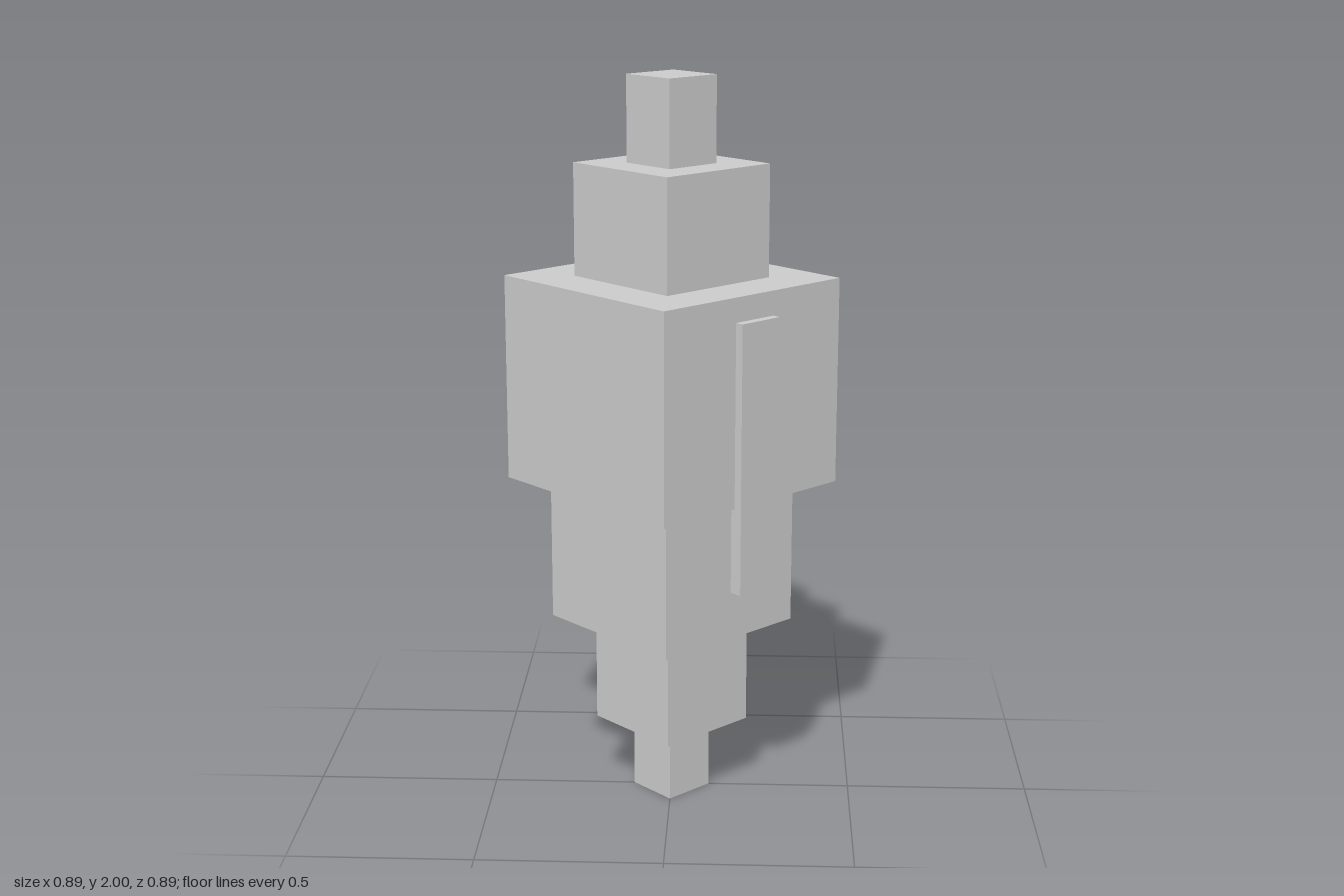
import * as THREE from 'three';

export function createModel() {
  const model = new THREE.Group();
  model.name = 'steppedTower';
  const grey = new THREE.MeshStandardMaterial({ color: 0xcccccc });
  grey.name = 'light grey';

  // The whole stack stands with its corners facing the axes
  const stack = new THREE.Group();
  stack.name = 'stack';
  stack.rotation.y = Math.PI / 4;
  model.add(stack);

  const addBox = (name, w, d, y0, y1, x = 0, z = 0) => {
    const mesh = new THREE.Mesh(new THREE.BoxGeometry(w, y1 - y0, d), grey);
    mesh.name = name;
    mesh.position.set(x, (y0 + y1) / 2, z);
    stack.add(mesh);
  };

  // Square tiers: name, half diagonal, bottom, top
  const tiers = [
    ['foot', 0.105, 0, 0.203],
    ['lowerTier', 0.21, 0.203, 0.503],
    ['waistTier', 0.331, 0.503, 0.903],
    ['mainBody', 0.447, 0.903, 1.466],
    ['upperTier', 0.259, 1.466, 1.769],
    ['topBlock', 0.118, 1.769, 2],
  ];
  for (const [name, halfDiagonal, y0, y1] of tiers) {
    const side = halfDiagonal * Math.SQRT2;
    addBox(name, side, side, y0, y1);
  }

  // Raised plates on two neighbouring faces of the main body
  const width = 0.134, depth = 0.036, outer = 0.34;
  addBox('longPlate', width, depth, 0.67, 1.4, 0, outer - depth / 2);
  addBox('shortPlate', depth, width, 1.07, 1.37, outer - depth / 2, 0);

  return model;
}
